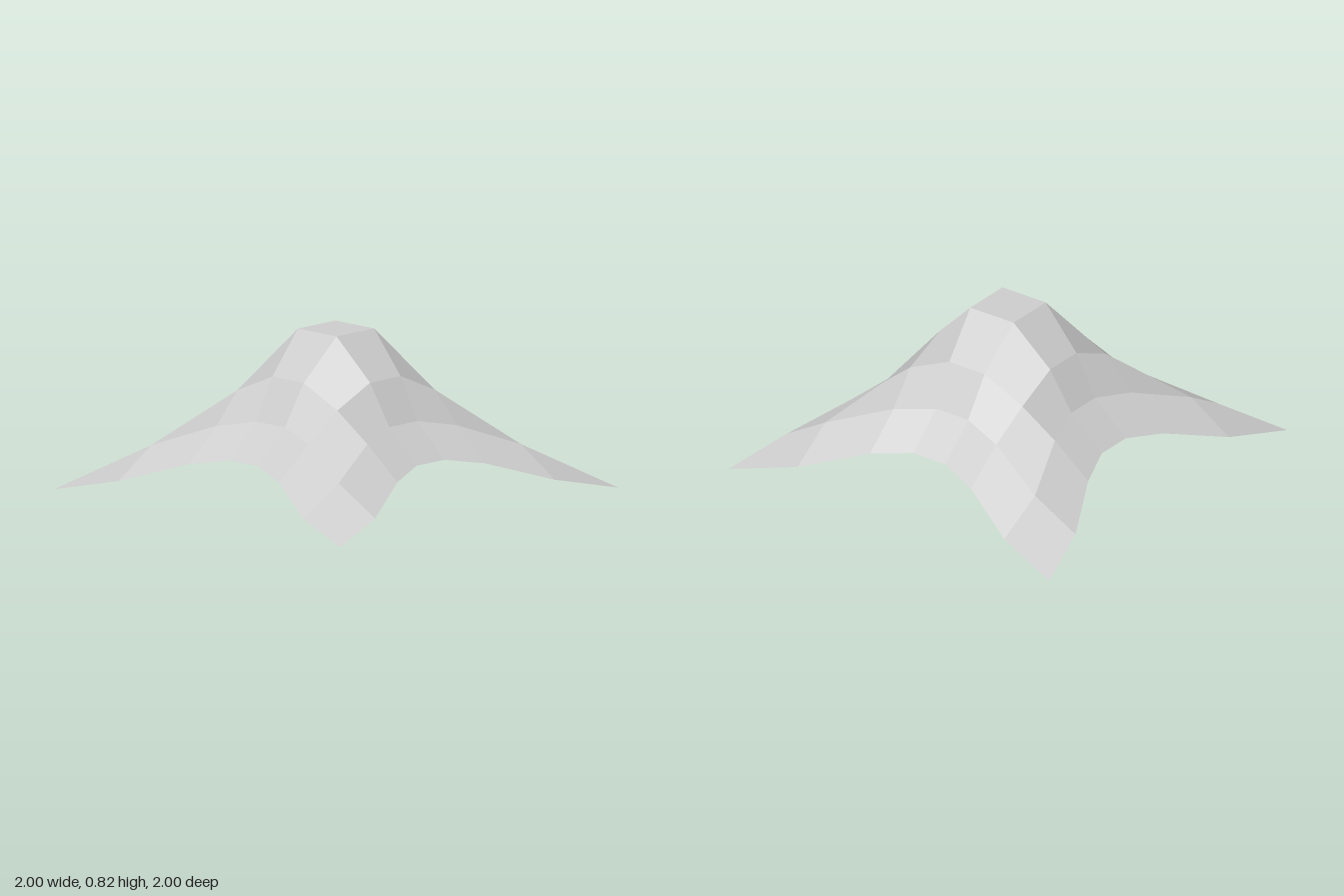
import * as THREE from 'three';

// Rings from the peak outwards; each lists [along, out, height] from mid-side to corner.
const RINGS = [
  [[0.135, 0.135, 0.82]],
  [[0.11, 0.345, 0.61], [0.35, 0.35, 0.505]],
  [[0.1, 0.47, 0.4], [0.32, 0.53, 0.355], [0.655, 0.655, 0.225]],
  [[0.1, 0.66, 0.23], [0.315, 0.735, 0.19], [0.645, 0.9, 0.08], [1, 1, 0]],
];

// Point of the 8 x 8 cloth grid, mirrored from one eighth of the canopy.
function gridPoint(i, j) {
  const a = i < 4 ? 3 - i : i - 4;
  const b = j < 4 ? 3 - j : j - 4;
  const [along, out, y] = RINGS[Math.max(a, b)][Math.min(a, b)];
  const x = a <= b ? along : out;
  const z = a <= b ? out : along;
  return new THREE.Vector3(i < 4 ? -x : x, y, j < 4 ? -z : z);
}

// Faceted cloth: every quad gets one normal, so it shades as a single panel.
function clothGeometry(includeCell) {
  const positions = [], normals = [];
  for (let j = 0; j < 7; j++) {
    for (let i = 0; i < 7; i++) {
      if (!includeCell(i, j)) continue;
      const q = [gridPoint(i, j), gridPoint(i, j + 1), gridPoint(i + 1, j + 1), gridPoint(i + 1, j)];
      const n = q[2].clone().sub(q[0]).cross(q[3].clone().sub(q[1])).normalize();
      // Fold along the diagonal that points towards the peak.
      const order = (i < 3) === (j < 3) ? [0, 1, 2, 0, 2, 3] : [0, 1, 3, 1, 2, 3];
      for (const k of order) {
        positions.push(...q[k].toArray());
        normals.push(...n.toArray());
      }
    }
  }
  const geometry = new THREE.BufferGeometry();
  geometry.setAttribute('position', new THREE.Float32BufferAttribute(positions, 3));
  geometry.setAttribute('normal', new THREE.Float32BufferAttribute(normals, 3));
  return geometry;
}

export function createModel() {
  const group = new THREE.Group();
  group.name = 'tentCanopy';
  const cloth = new THREE.MeshStandardMaterial({ color: 0xcccccc, side: THREE.DoubleSide });
  cloth.name = 'pale grey cloth';

  const isCap = (i, j) => i === 3 && j === 3;

  // Draped sides running down to the four pegged corners
  const canopy = new THREE.Mesh(clothGeometry((i, j) => !isCap(i, j)), cloth);
  canopy.name = 'canopy';

  // Flat square at the peak
  const cap = new THREE.Mesh(clothGeometry(isCap), cloth);
  cap.name = 'peakCap';

  group.add(canopy, cap);
  return group;
}
